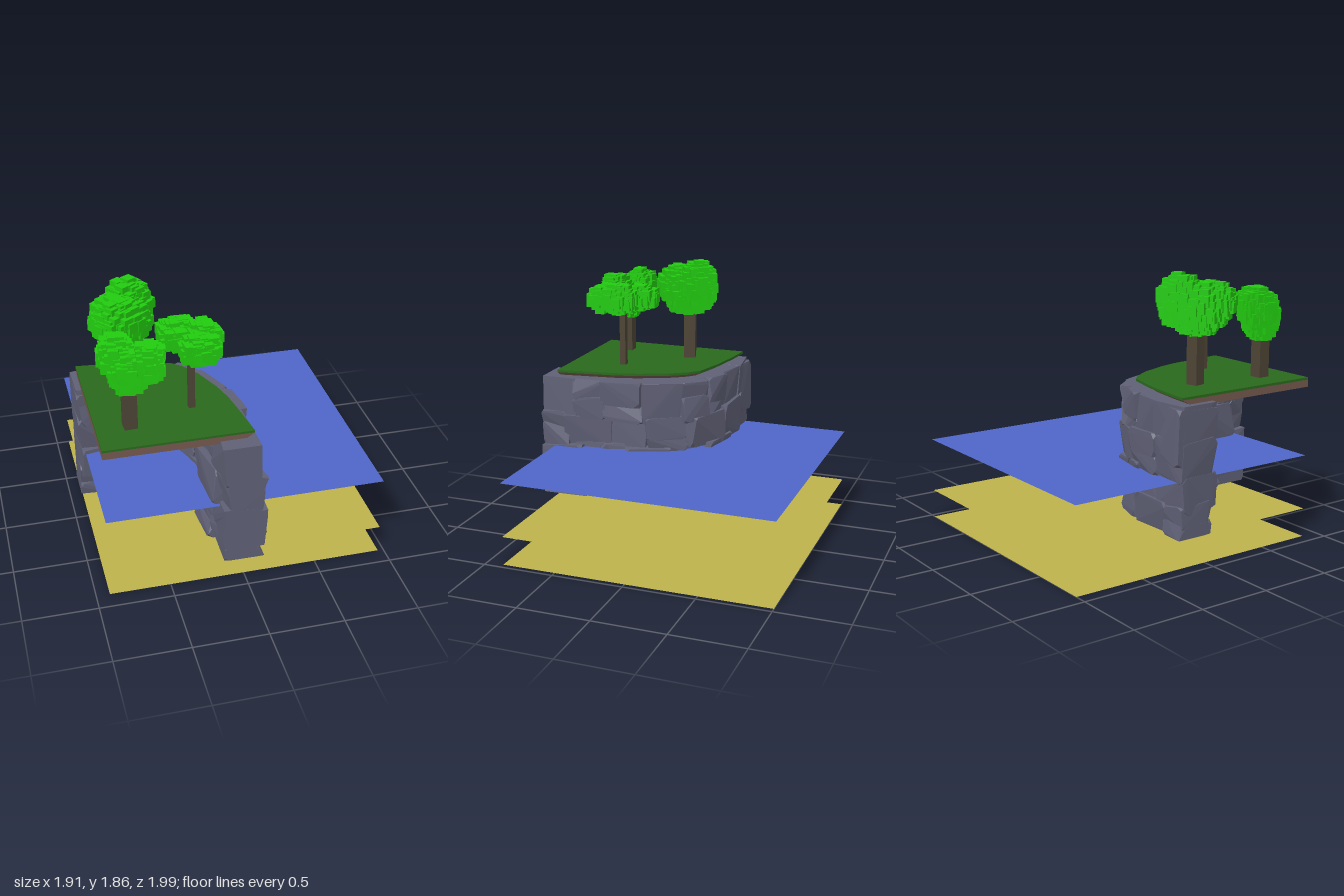
import * as THREE from 'three';
import { ConvexGeometry } from 'three/addons/geometries/ConvexGeometry.js';
import { mergeGeometries } from 'three/addons/utils/BufferGeometryUtils.js';

// Small seeded random generator
let seed = 7;
const rnd = () => {
  seed = (seed * 16807) % 2147483647;
  return seed / 2147483647;
};
const jit = (a) => (rnd() * 2 - 1) * a;

const mat = (color, side = THREE.FrontSide) =>
  new THREE.MeshStandardMaterial({ color, side, flatShading: true });

function add(parent, name, geometry, material) {
  const mesh = new THREE.Mesh(geometry, material);
  mesh.name = name;
  parent.add(mesh);
  return mesh;
}

// Curved cliff edge of the land, from the back to the front (x, z)
const EDGE = [[-0.91, -0.2], [-0.72, -0.18], [-0.5, -0.145], [-0.27, -0.085], [-0.2, -0.02],
  [-0.12, 0.1], [-0.04, 0.3], [0, 0.45], [0.03, 0.65], [0.06, 0.88]];

function landSlab(height, y, bottomScale = 1) {
  const shape = new THREE.Shape([[-0.91, 0.88], ...EDGE.slice().reverse()].map(([x, z]) => new THREE.Vector2(x, -z)));
  const g = new THREE.ExtrudeGeometry(shape, { depth: height, bevelEnabled: false });
  g.rotateX(-Math.PI / 2);
  // Draw the underside in toward the square corner so the curved edge slopes
  const p = g.attributes.position;
  for (let i = 0; i < p.count; i++) {
    if (p.getY(i) < height / 2) {
      p.setX(i, -0.91 + (p.getX(i) + 0.91) * bottomScale);
      p.setZ(i, 0.88 + (p.getZ(i) - 0.88) * bottomScale);
    }
  }
  g.translate(0, y, 0);
  g.computeVertexNormals();
  return g;
}

// Irregular block with chipped corners; local x runs along the wall
function rock(w, h, d, x, y, z, yaw) {
  const pts = [];
  const turn = new THREE.Euler(jit(0.06), yaw + jit(0.07), jit(0.05));
  for (const sx of [-1, 1]) for (const sy of [-1, 1]) for (const sz of [-1, 1]) {
    const corner = new THREE.Vector3(sx * (w / 2 + jit(0.012)), sy * (h / 2 + jit(0.012)), sz * (d / 2 + jit(0.02)));
    for (const axis of ['x', 'y', 'z']) {
      const p = corner.clone();
      p[axis] -= Math.sign(p[axis]) * (0.012 + rnd() * 0.035);
      p.applyEuler(turn).add(new THREE.Vector3(x, y, z));
      p.x = Math.max(p.x, -0.95);
      p.y = THREE.MathUtils.clamp(p.y, 0.205 + rnd() * 0.002, 1.075 + rnd() * 0.003);
      p.z = THREE.MathUtils.clamp(p.z, -0.26, 0.985);
      pts.push(p);
    }
  }
  return new ConvexGeometry(pts);
}

function cliffWall() {
  const path = new THREE.CatmullRomCurve3([[-0.93, -0.09], [-0.7, -0.1], [-0.48, -0.09], [-0.26, -0.02],
    [-0.13, 0.17], [-0.07, 0.45], [-0.05, 0.7], [-0.03, 0.98]].map(([x, z]) => new THREE.Vector3(x, 0, z)));
  const length = path.getLength();
  const rows = [[0.2, 0.4], [0.39, 0.6], [0.58, 0.82], [0.8, 1.08]];
  const parts = [];
  for (const [y0, y1] of rows) {
    let s = 0;
    while (s < length) {
      let w = 0.15 + rnd() * 0.16;
      if (length - s - w < 0.12) w = length - s;
      const u = (s + w / 2) / length;
      const p = path.getPointAt(u), t = path.getTangentAt(u);
      const yaw = Math.atan2(-t.z, t.x);
      const out = jit(0.018);
      const place = (a, b, depth) => parts.push(rock(w + 0.035, b - a + 0.03, depth,
        p.x + t.z * out, (a + b) / 2, p.z - t.x * out, yaw));
      // Some blocks are split into two thinner courses
      if (rnd() < 0.35) {
        const m = y0 + (y1 - y0) * (0.35 + rnd() * 0.3);
        place(y0, m, 0.25 + jit(0.03));
        place(m, y1, 0.25 + jit(0.03));
      } else place(y0 + jit(0.02), y1 + jit(0.02), 0.25 + jit(0.035));
      s += w;
    }
  }
  // Large outcrops at the two ends
  parts.push(rock(0.29, 0.29, 0.33, -0.02, 0.44, 0.84, 0));
  parts.push(rock(0.2, 0.36, 0.3, -0.84, 0.87, -0.1, 0));
  return mergeGeometries(parts);
}

// Crown of small leaf cubes spread over ellipsoids [x, y, z, rx, ry, rz]
function crown(lobes, yaw) {
  const parts = [];
  for (const [x, y, z, rx, ry, rz] of lobes) {
    const n = Math.round(36 + 1500 * (rx * ry + ry * rz + rx * rz));
    for (let i = 0; i < n; i++) {
      const k = 1 - (2 * (i + 0.5)) / n, r = Math.sqrt(1 - k * k), a = i * 2.39996;
      const size = 0.055 + rnd() * 0.02;
      const g = new THREE.BoxGeometry(size, size, size);
      g.rotateY(jit(0.06));
      g.translate(Math.cos(a) * r * rx + jit(0.012), k * ry + jit(0.012), Math.sin(a) * r * rz + jit(0.012));
      g.rotateY(yaw);
      g.translate(x, y, z);
      parts.push(g);
    }
  }
  return mergeGeometries(parts);
}

const TREES = [
  { name: 'frontTree', x: -0.69, z: 0.64, width: 0.085, top: 1.45, trunkYaw: 0.05, yaw: -0.15,
    lobes: [[-0.75, 1.6, 0.56, 0.09, 0.1, 0.09], [-0.68, 1.52, 0.64, 0.1, 0.11, 0.08], [-0.57, 1.59, 0.68, 0.08, 0.1, 0.08]] },
  { name: 'thinTree', x: -0.26, z: 0.5, width: 0.042, top: 1.58, trunkYaw: 0, yaw: 0.04,
    lobes: [[-0.32, 1.61, 0.4, 0.1, 0.06, 0.11], [-0.17, 1.62, 0.49, 0.08, 0.07, 0.1], [-0.23, 1.61, 0.63, 0.1, 0.065, 0.08]] },
  { name: 'backTree', x: -0.635, z: 0.125, width: 0.082, top: 1.55, trunkYaw: 0.24, yaw: 0.6,
    lobes: [[-0.57, 1.67, 0.05, 0.12, 0.15, 0.11], [-0.64, 1.62, 0.14, 0.16, 0.14, 0.16], [-0.66, 1.65, 0.23, 0.13, 0.12, 0.11]] },
];

export function createModel() {
  seed = 7;
  const model = new THREE.Group();
  model.name = 'seaCliff';

  // Water surface and two sand layers
  const layers = [['water', 0.58, 0x4f66c8], ['upperSand', 0.2, 0xbdb24c], ['lowerSand', 0, 0xbdb24c]];
  for (const [name, y, color] of layers) {
    const sheet = add(model, name, new THREE.PlaneGeometry(1.87, 1.88), mat(color, THREE.DoubleSide));
    sheet.rotation.x = -Math.PI / 2;
    sheet.position.set(0.025, y, -0.06);
  }

  // Land on top of the cliff
  add(model, 'soil', landSlab(0.05, 1.06, 0.92), mat(0x75594f));
  add(model, 'grass', landSlab(0.017, 1.108), mat(0x2a691d));
  add(model, 'cliffWall', cliffWall(), mat(0x5f6075));

  // Trees
  const bark = mat(0x4d4435), leaf = mat(0x22cc10);
  for (const t of TREES) {
    const tree = new THREE.Group();
    tree.name = t.name;
    const h = t.top - 1.12;
    const trunk = add(tree, 'trunk', new THREE.BoxGeometry(t.width, h, t.width), bark);
    trunk.position.set(t.x, 1.12 + h / 2, t.z);
    trunk.rotation.y = t.trunkYaw;
    add(tree, 'crown', crown(t.lobes, t.yaw), leaf);
    model.add(tree);
  }
  return model;
}
